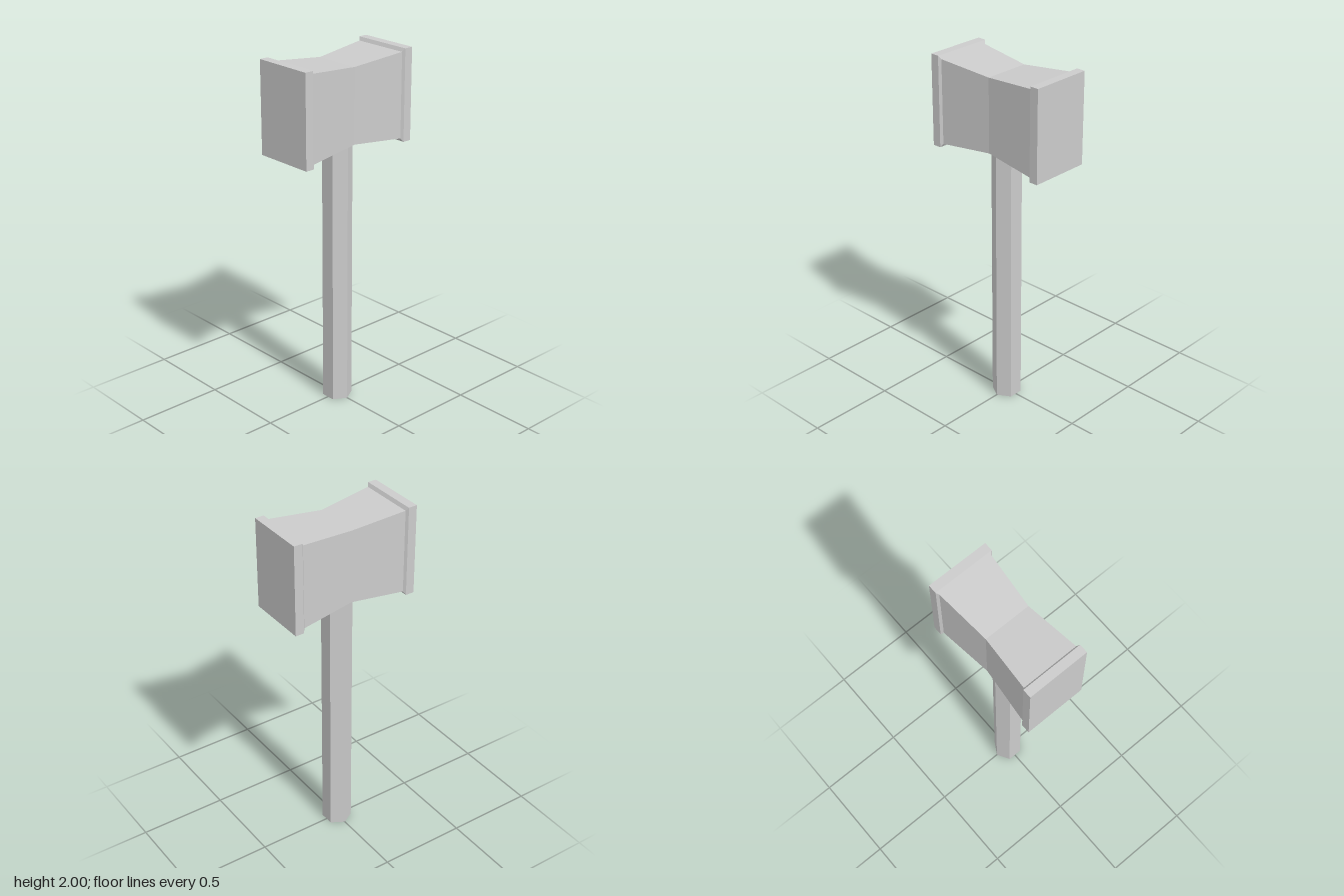
import * as THREE from 'three';

const material = new THREE.MeshStandardMaterial({ color: 0xcccccc, flatShading: true });

// Lofts rectangular sections [z, halfWidth, halfHeight], ordered back to front, into a closed solid
function loftRectangles(sections) {
  const positions = [];
  const index = [];
  for (const [z, w, h] of sections) {
    positions.push(w, h, z, -w, h, z, -w, -h, z, w, -h, z);
  }
  for (let i = 0; i < sections.length - 1; i++) {
    for (let j = 0; j < 4; j++) {
      const a = i * 4 + j;
      const b = i * 4 + ((j + 1) % 4);
      index.push(a, b, b + 4, a, b + 4, a + 4);
    }
  }
  const f = (sections.length - 1) * 4;
  index.push(0, 2, 1, 0, 3, 2, f, f + 1, f + 2, f, f + 2, f + 3);

  const indexed = new THREE.BufferGeometry();
  indexed.setAttribute('position', new THREE.Float32BufferAttribute(positions, 3));
  indexed.setIndex(index);
  const geometry = indexed.toNonIndexed();
  geometry.computeVertexNormals();
  return geometry;
}

export function createModel() {
  const model = new THREE.Group();
  model.name = 'hammer';

  // Head: waisted block with a flared striking face at each end
  const half = [
    [0.372, 0.175, 0.257],
    [0.322, 0.175, 0.257],
    [0.311, 0.162, 0.238],
  ];
  const sections = [
    ...half.map(([z, w, h]) => [-z, w, h]),
    [0, 0.133, 0.209],
    ...half.slice().reverse(),
  ];
  const head = new THREE.Mesh(loftRectangles(sections), material);
  head.name = 'head';
  head.position.y = 1.743;
  model.add(head);

  // Handle: hexagonal shaft with corners pointing sideways, seated in the head
  const length = 1.58;
  const shaft = new THREE.CylinderGeometry(0.083, 0.083, length, 6);
  shaft.rotateY(Math.PI / 2);
  const handle = new THREE.Mesh(shaft, material);
  handle.name = 'handle';
  handle.position.y = length / 2;
  model.add(handle);

  return model;
}
